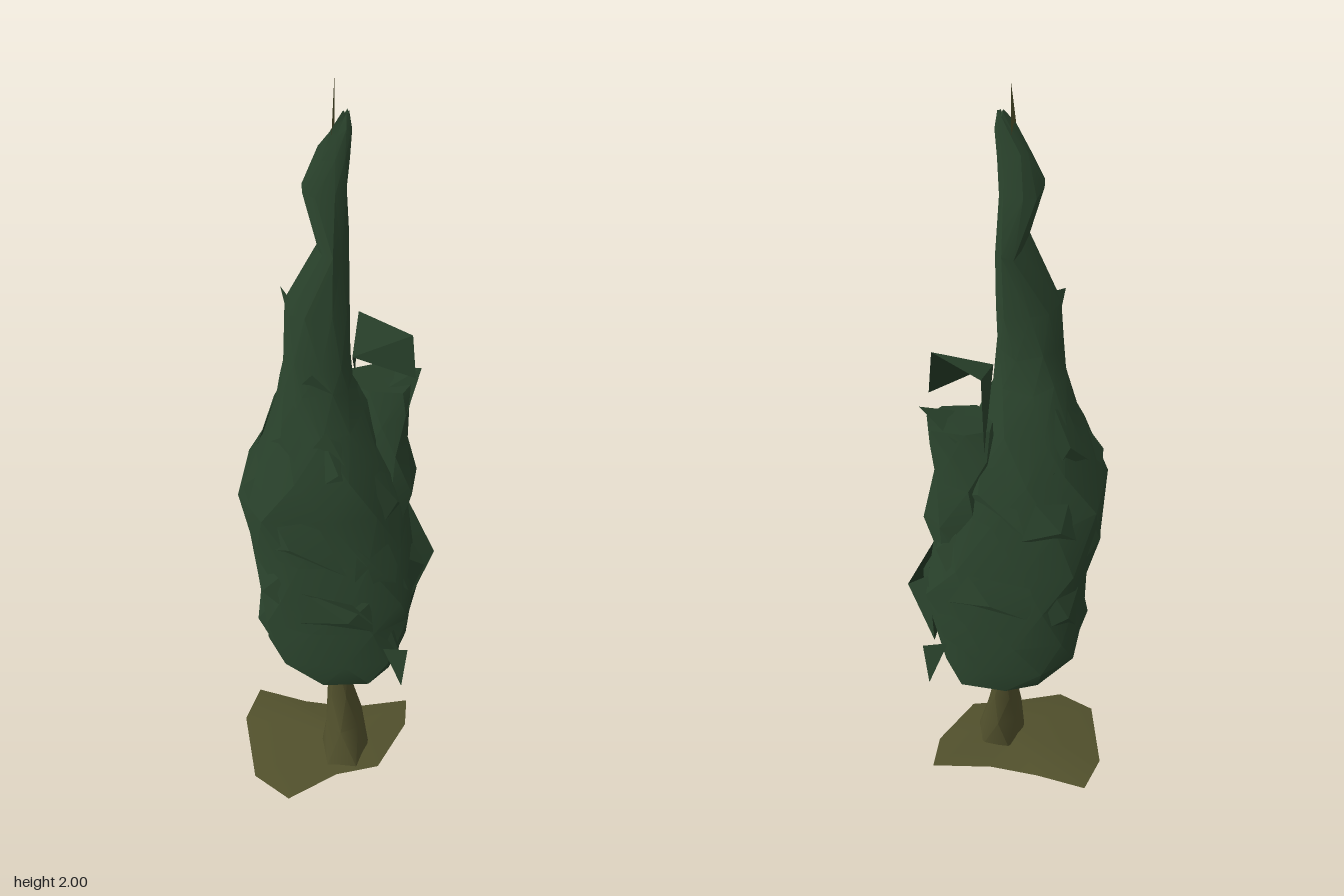
import * as THREE from 'three';
import { toCreasedNormals } from 'three/addons/utils/BufferGeometryUtils.js';

// Small seeded random source, -1..1
function seeded(seed) {
  let s = seed;
  return () => {
    s = (s * 16807) % 2147483647;
    return (s / 2147483647) * 2 - 1;
  };
}

function fromTriangles(points, index, crease) {
  const g = new THREE.BufferGeometry();
  g.setAttribute('position', new THREE.Float32BufferAttribute(points.flat(), 3));
  g.setIndex(index);
  return toCreasedNormals(g, crease);
}

// Foliage normals lean upwards for soft, even shading
function leanNormals(geometry) {
  const normals = geometry.attributes.normal, v = new THREE.Vector3();
  for (let i = 0; i < normals.count; i++) {
    v.fromBufferAttribute(normals, i);
    v.y += 0.6;
    v.normalize();
    normals.setXYZ(i, v.x, v.y, v.z);
  }
  return geometry;
}

// Point on a ring [y, xMin, xMax, zMin, zMax], slightly squarer than an ellipse
function ringPoint([y, x0, x1, z0, z1], angle, scale) {
  const square = (v) => Math.sign(v) * Math.abs(v) ** 0.78;
  return [
    (x0 + x1) / 2 + square(Math.cos(angle)) * scale * (x1 - x0) / 2,
    y,
    (z0 + z1) / 2 + square(Math.sin(angle)) * scale * (z1 - z0) / 2,
  ];
}

// Closed irregular body, capped at both ends
function loft(rings, sides, rough, yRough, seed, crease) {
  const rnd = seeded(seed), points = [], index = [];
  rings.forEach((ring, r) => {
    for (let i = 0; i < sides; i++) {
      const a = ((i + (r % 2) * 0.5) / sides) * Math.PI * 2;
      const p = ringPoint(ring, a, 1 + rnd() * rough);
      p[1] += rnd() * yRough;
      points.push(p);
    }
  });
  for (let r = 0; r < rings.length - 1; r++) {
    for (let i = 0; i < sides; i++) {
      const j = (i + 1) % sides;
      const a = r * sides + i, b = r * sides + j, d = a + sides, c = b + sides;
      if (r % 2) index.push(a, d, c, a, c, b);
      else index.push(a, d, b, b, d, c);
    }
  }
  const low = points.push(ringPoint(rings[0], 0, 0)) - 1;
  const high = points.push(ringPoint(rings[rings.length - 1], 0, 0)) - 1;
  const top = (rings.length - 1) * sides;
  for (let i = 0; i < sides; i++) {
    const j = (i + 1) % sides;
    index.push(low, i, j, high, top + j, top + i);
  }
  return fromTriangles(points, index, crease);
}

// Overall outline of the crown
const crownRings = [
  [0.28, -0.03, 0.08, -0.07, 0.06],
  [0.325, -0.12, 0.16, -0.16, 0.13],
  [0.41, -0.185, 0.18, -0.19, 0.165],
  [0.51, -0.195, 0.20, -0.21, 0.17],
  [0.63, -0.21, 0.22, -0.23, 0.20],
  [0.75, -0.225, 0.185, -0.23, 0.19],
  [0.90, -0.24, 0.16, -0.23, 0.22],
  [1.02, -0.19, 0.115, -0.20, 0.205],
  [1.12, -0.155, 0.07, -0.15, 0.165],
  [1.21, -0.135, 0.045, -0.07, 0.12],
  [1.29, -0.12, 0.038, -0.05, 0.12],
  [1.42, -0.118, 0.035, -0.075, 0.10],
  [1.58, -0.035, 0.03, -0.09, 0.10],
  [1.72, -0.08, 0.03, -0.055, 0.072],
  [1.81, -0.045, 0.035, -0.03, 0.05],
  [1.87, -0.012, 0.04, -0.012, 0.035],
  [1.905, 0.018, 0.032, -0.005, 0.012],
];

// Crown limits at any height
function crownAt(y) {
  let r = 0;
  while (r < crownRings.length - 2 && crownRings[r + 1][0] < y) r++;
  const a = crownRings[r], b = crownRings[r + 1];
  const t = (y - a[0]) / (b[0] - a[0]);
  return a.map((v, i) => v + (b[i] - v) * t);
}

// Broad angular leaf plates overlapping like shingles
function leafPlates() {
  const rnd = seeded(77), points = [], index = [];
  const at = (a, y, scale) => ringPoint(crownAt(y), a, scale);
  for (let i = 0; i < 20; i++) {
    const a = i * 2.4 + 0.5;
    const y = 0.46 + (i / 19) * 0.66 + rnd() * 0.03;
    const w = 0.42 + rnd() * 0.1, h = 0.09 + rnd() * 0.02;
    const n = points.push(
      at(a - w, y - h, 0.97),
      at(a + w, y - h * 0.5, 0.96),
      at(a + w * 0.6, y + h, 1.0 + rnd() * 0.03),
      at(a - w * 0.6, y + h * 0.7, 0.98),
      at(a, y, 1.07),
    ) - 5;
    for (let k = 0; k < 4; k++) index.push(n + (k + 1) % 4, n + k, n + 4);
  }
  return fromTriangles(points, index, 0.5);
}

export function createModel() {
  const tree = new THREE.Group();
  tree.name = 'cypressTree';

  const foliage = new THREE.MeshStandardMaterial({ color: 0x263d28, side: THREE.DoubleSide });
  foliage.name = 'darkGreenFoliage';
  const bark = new THREE.MeshStandardMaterial({ color: 0x51502c, side: THREE.DoubleSide });
  bark.name = 'oliveBark';

  const add = (name, geometry, material) => {
    const mesh = new THREE.Mesh(geometry, material);
    mesh.name = name;
    tree.add(mesh);
  };
  const addLeaves = (name, geometry) => add(name, leanNormals(geometry), foliage);

  addLeaves('crown', loft(crownRings, 9, 0.05, 0.01, 11, 0.6));

  // Secondary clump at the back of the model's left side
  addLeaves('backShoulder', loft([
    [0.72, 0.04, 0.17, -0.16, 0.03],
    [0.86, 0.03, 0.205, -0.20, 0.06],
    [0.98, 0.01, 0.18, -0.20, 0.04],
    [1.07, 0.0, 0.18, -0.19, 0.01],
    [1.14, 0.02, 0.19, -0.18, -0.04],
  ], 7, 0.05, 0.015, 5, 0.5));

  addLeaves('leafPlates', leafPlates());

  // Loose sprays standing clear of the outline
  const sprays = [
    [[0.04, 1.25, -0.02], [0.195, 1.175, -0.06], [0.185, 1.295, -0.065]],
    [[0.04, 1.25, -0.02], [0.185, 1.295, -0.065], [0.04, 1.295, -0.17]],
    [[0.04, 1.25, -0.02], [0.04, 1.295, -0.17], [0.03, 1.10, -0.185]],
    [[0.06, 1.11, -0.03], [0.16, 1.03, -0.01], [0.205, 1.17, -0.12]],
    [[0.06, 1.11, -0.03], [0.205, 1.17, -0.12], [0.10, 1.12, -0.19]],
    [[-0.11, 1.34, 0.0], [-0.07, 1.41, 0.07], [-0.13, 1.46, 0.02]],
    [[0.14, 0.70, 0.06], [0.17, 0.50, 0.08], [0.252, 0.61, -0.11]],
    [[0.14, 0.70, 0.06], [0.252, 0.61, -0.11], [0.18, 0.76, -0.12]],
    [[0.252, 0.61, -0.11], [0.17, 0.50, 0.08], [0.18, 0.45, -0.13]],
    [[0.252, 0.61, -0.11], [0.18, 0.45, -0.13], [0.18, 0.70, -0.18]],
    [[0.14, 0.46, 0.13], [0.19, 0.34, 0.13], [0.205, 0.47, 0.14]],
    [[0.14, 0.46, -0.15], [0.205, 0.45, -0.16], [0.185, 0.345, -0.18]],
    [[-0.10, 0.66, 0.17], [0.12, 0.56, 0.16], [0.07, 0.68, 0.235]],
    [[-0.06, 1.06, 0.16], [0.05, 1.04, 0.17], [0.0, 1.16, 0.185]],
    [[-0.10, 1.20, 0.09], [0.02, 1.20, 0.10], [-0.04, 1.29, 0.14]],
  ].flat();
  addLeaves('looseSprays', fromTriangles(sprays, sprays.map((_, i) => i), 0.3));

  // Thin blade at the very top
  add('tip', fromTriangles(
    [[-0.004, 1.87, 0.042], [-0.004, 1.84, -0.01], [-0.004, 1.89, -0.02], [-0.004, 2.0, -0.022]],
    [0, 1, 2, 0, 2, 3], 0.3), bark);

  // Trunk, flared towards the front and left
  add('trunk', loft([
    [0.03, -0.035, 0.10, -0.068, 0.13],
    [0.12, -0.025, 0.075, -0.06, 0.09],
    [0.21, -0.02, 0.05, -0.058, 0.05],
    [0.33, -0.02, 0.035, -0.06, 0.03],
  ], 6, 0.03, 0, 3, 1.1), bark);

  // Spread root plate: raised in the middle, drooping at its rim
  const rim = [
    [-0.235, 0.03, -0.17], [-0.258, 0.025, -0.05], [-0.20, 0.015, 0.17], [-0.10, 0.0, 0.232],
    [0.02, 0.025, 0.15], [0.13, 0.03, 0.11], [0.19, 0.038, -0.06], [0.185, 0.035, -0.165],
    [0.03, 0.025, -0.13], [-0.10, 0.025, -0.14],
  ];
  const n = rim.length, index = [];
  for (let i = 0; i < n; i++) {
    const j = (i + 1) % n;
    index.push(n, i, j, n + 1, j, i);
  }
  add('rootPlate', fromTriangles([...rim, [0.02, 0.055, 0.02], [-0.05, 0.008, 0.03]], index, 0.6), bark);

  return tree;
}
